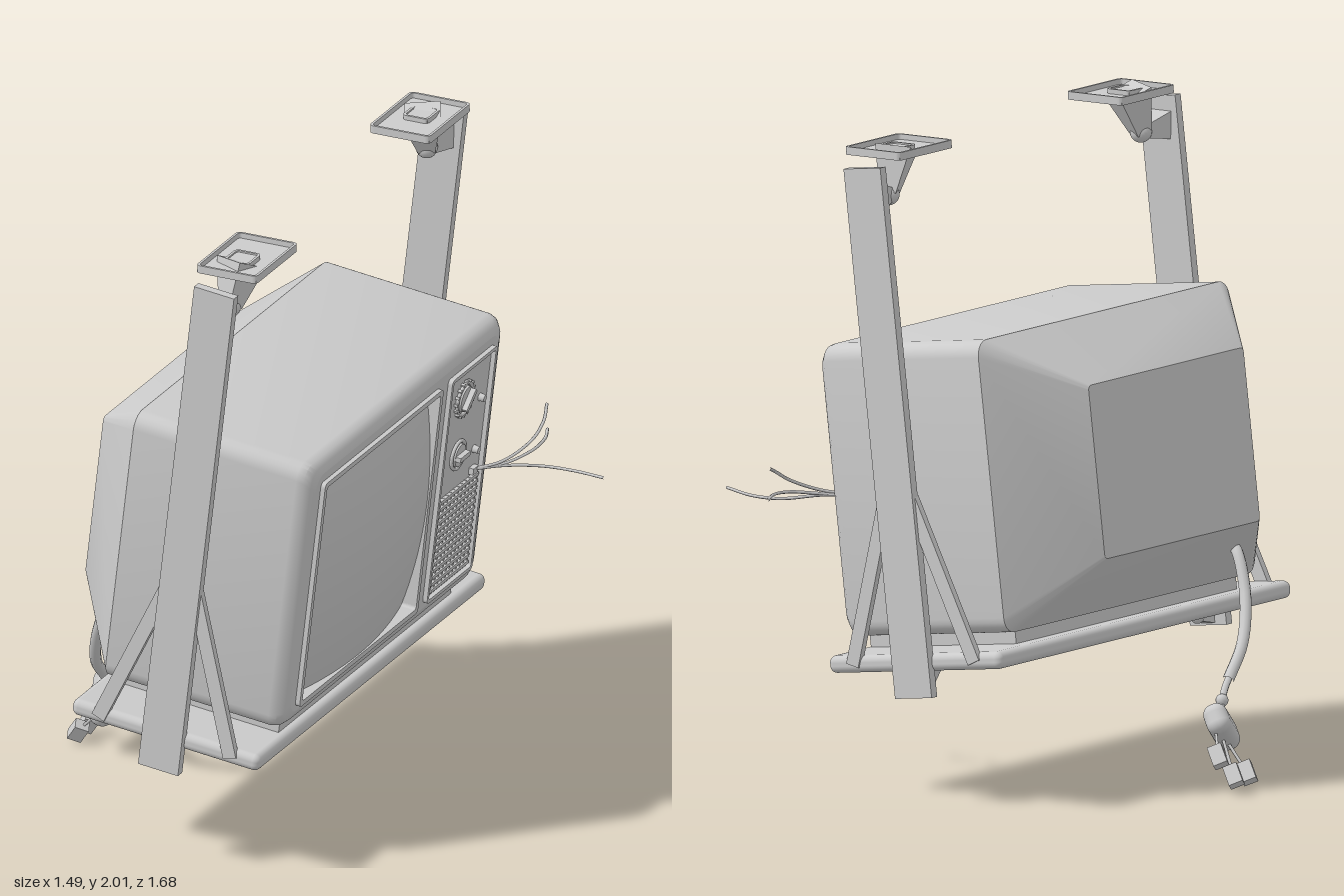
import * as THREE from 'three';
import { toCreasedNormals } from 'three/addons/utils/BufferGeometryUtils.js';
import { RoundedBoxGeometry } from 'three/addons/geometries/RoundedBoxGeometry.js';

const mat = new THREE.MeshStandardMaterial({ color: 0xcccccc });
const matFlat = new THREE.MeshStandardMaterial({ color: 0xcccccc, flatShading: true });
const V = (x, y, z) => new THREE.Vector3(x, y, z);

function add(parent, name, geo, pos = [0, 0, 0], material = mat) {
  const m = new THREE.Mesh(geo, material);
  m.name = name;
  m.position.set(...pos);
  parent.add(m);
  return m;
}
const box = (parent, name, size, pos) => add(parent, name, new THREE.BoxGeometry(...size), pos);

// Stretch a geometry's y axis along the line p-q
function align(mesh, p, q) {
  mesh.position.copy(p).lerp(q, 0.5);
  mesh.quaternion.setFromUnitVectors(V(0, 1, 0), q.clone().sub(p).normalize());
  return mesh;
}
// Square tapered arm from p (half width a) to q (half width b)
function taper(parent, name, p, q, a, b) {
  const g = new THREE.CylinderGeometry(b * Math.SQRT2, a * Math.SQRT2, p.distanceTo(q), 4).rotateY(Math.PI / 4);
  return align(add(parent, name, g, [0, 0, 0], matFlat), p, q);
}
function tube(parent, name, pts, r, sides = 8) {
  const curve = new THREE.CatmullRomCurve3(pts.map(p => V(...p)));
  return add(parent, name, new THREE.TubeGeometry(curve, 24, r, sides));
}

// Counter-clockwise rounded rectangle outline
function roundedRect(x0, x1, y0, y1, r, n = 5) {
  const pts = [];
  [[x1 - r, y0 + r, -1], [x1 - r, y1 - r, 0], [x0 + r, y1 - r, 1], [x0 + r, y0 + r, 2]].forEach(([cx, cy, k]) => {
    for (let i = 0; i <= n; i++) {
      const t = (k + i / n) * Math.PI / 2;
      pts.push(new THREE.Vector2(cx + r * Math.cos(t), cy + r * Math.sin(t)));
    }
  });
  return pts;
}
// Skin between outlines, each { z, pts }, with the back closed
function loft(sections) {
  const pos = [], idx = [], n = sections[0].pts.length;
  sections.forEach(s => s.pts.forEach(p => pos.push(p.x, p.y, s.z)));
  for (let i = 0; i < sections.length - 1; i++) {
    for (let j = 0; j < n; j++) {
      const a = i * n + j, b = i * n + (j + 1) % n;
      idx.push(a, b, b + n, a, b + n, a + n);
    }
  }
  for (let j = 1; j < n - 1; j++) idx.push(0, j + 1, j);
  const g = new THREE.BufferGeometry();
  g.setAttribute('position', new THREE.Float32BufferAttribute(pos, 3));
  g.setIndex(idx);
  return toCreasedNormals(g, 0.6);
}
// Extruded rectangular frame from z0 to z1 with border w
function frame(x0, x1, y0, y1, w, z0, z1) {
  const s = new THREE.Shape(roundedRect(x0, x1, y0, y1, 0.015));
  s.holes.push(new THREE.Path(roundedRect(x0 + w, x1 - w, y0 + w, y1 - w, 0.01)));
  return new THREE.ExtrudeGeometry(s, { depth: z1 - z0, bevelEnabled: false }).translate(0, 0, z0);
}

// Television, built facing +z
function buildTelevision() {
  const tv = new THREE.Group();
  tv.name = 'television';
  const FRONT = 0.335;
  const full = (z, inset) => ({
    z, pts: roundedRect(-0.677 + inset, 0.677 - inset, 0.04 + inset, 0.94 - inset, 0.05),
  });
  const sections = [
    { z: -0.485, pts: roundedRect(-0.418, 0.418, 0.23, 0.764, 0.015) },
    full(-0.27, 0), full(0.285, 0), full(0.309, 0.006), full(0.327, 0.022), full(FRONT, 0.045),
  ];
  add(tv, 'cabinet', loft(sections));
  const face = new THREE.Shape(sections[5].pts);
  face.holes.push(new THREE.Path(roundedRect(-0.58, 0.205, 0.12, 0.85, 0.01)));
  add(tv, 'frontFace', new THREE.ShapeGeometry(face), [0, 0, FRONT]);
  box(tv, 'base', [1.19, 0.08, 0.54], [0, 0.03, 0.02]);

  // Bulging screen inside its frame
  add(tv, 'screenFrame', frame(-0.597, 0.222, 0.103, 0.867, 0.017, 0.27, 0.35));
  const glass = new THREE.PlaneGeometry(0.785, 0.73, 20, 20);
  const p = glass.attributes.position;
  for (let i = 0; i < p.count; i++) {
    const u = p.getX(i) / 0.3925, v = p.getY(i) / 0.365;
    p.setZ(i, 0.39 - 0.045 * (u * u + v * v));
  }
  glass.computeVertexNormals();
  add(tv, 'screen', glass, [-0.1875, 0.485, 0]);

  // Control panel
  add(tv, 'panelFrame', frame(0.283, 0.597, 0.103, 0.867, 0.012, 0.32, 0.35));
  [[0.755, 0.058, 16], [0.563, 0.052, 0]].forEach(([y, r, teeth]) => {
    const dial = new THREE.Group();
    dial.name = 'dial';
    dial.position.set(0.41, y, FRONT);
    tv.add(dial);
    add(dial, 'dialRing', new THREE.TorusGeometry(r - 0.006, 0.006, 8, 32), [0, 0, 0.006]);
    add(dial, 'dialDisc', new THREE.CylinderGeometry(r * 0.7, r * 0.75, 0.014, 32).rotateX(Math.PI / 2), [0, 0, 0.007]);
    const grip = box(dial, 'dialGrip', [r * 1.3, 0.016, 0.022], [0, 0, 0.02]);
    grip.rotation.z = teeth ? 0.8 : 0;
    for (let i = 0; i < teeth; i++) {
      const t = i / teeth * Math.PI * 2;
      box(dial, 'dialTooth', [0.009, 0.009, 0.012], [r * Math.cos(t), r * Math.sin(t), 0.006]).rotation.z = t;
    }
  });
  [0.71, 0.533].forEach(y =>
    add(tv, 'smallKnob', new THREE.CylinderGeometry(0.011, 0.013, 0.02, 16).rotateX(Math.PI / 2), [0.535, y, 0.344]));

  // Speaker grille
  for (let i = 0; i < 14; i++) box(tv, 'grilleSlat', [0.26, 0.011, 0.012], [0.442, 0.135 + i * 0.0232, 0.34]);
  for (let i = 0; i < 11; i++) box(tv, 'grilleBar', [0.007, 0.315, 0.008], [0.315 + i * 0.0254, 0.286, 0.338]);
  box(tv, 'wireSocket', [0.035, 0.022, 0.016], [0.535, 0.463, 0.343]);
  return tv;
}

// Tilted shelf with posts and braces, carrying the television
function buildCradle() {
  const cradle = new THREE.Group();
  cradle.name = 'cradle';
  cradle.position.set(-0.04, 0.465, 0.033);
  cradle.rotation.z = -0.117;
  add(cradle, 'shelf', new RoundedBoxGeometry(0.64, 0.054, 1.58, 4, 0.022), [0, -0.027, 0]);
  const tv = buildTelevision();
  tv.rotation.y = Math.PI / 2;
  cradle.add(tv);
  for (const s of [1, -1]) {
    box(cradle, 'post', [0.136, 1.63, 0.03], [0, 0.682, s * 0.795]);
    for (const k of [1, -1]) {
      const a = V(k * 0.225, -0.03, s * 0.785), b = V(k * 0.045, 0.48, s * 0.785);
      align(box(cradle, 'brace', [0.045, a.distanceTo(b), 0.022]), a, b);
    }
    // Bolt under the shelf
    taper(cradle, 'shelfBoltArm', V(0, -0.1, s * 0.785), V(0, -0.1, s * 0.73), 0.027, 0.014);
    taper(cradle, 'shelfBoltLug', V(0, -0.045, s * 0.72), V(0, -0.1, s * 0.73), 0.035, 0.016);
    add(cradle, 'shelfBolt', new THREE.SphereGeometry(0.021, 16, 12), [0, -0.1, s * 0.727]);
  }
  return cradle;
}

// Ceiling plate with a ball joint
function buildMount(s) {
  const mount = new THREE.Group();
  mount.name = 'ceilingMount';
  mount.position.z = 0.033;
  const zc = s * 0.598, ball = V(0.125, 1.855, s * 0.68);
  box(mount, 'ceilingPlate', [0.2, 0.008, 0.28], [0.1425, 1.979, zc]);
  const rim = frame(-0.1025, 0.1025, -0.145, 0.145, 0.008, 0, 0.025).rotateX(-Math.PI / 2);
  add(mount, 'ceilingPlateRim', rim, [0.1425, 1.975, zc]);
  add(mount, 'plateBoss', frame(-0.044, 0.044, -0.047, 0.047, 0.008, 0, 0.016).rotateX(-Math.PI / 2), [0.137, 1.982, s * 0.62]);
  box(mount, 'plateBossCore', [0.08, 0.012, 0.086], [0.137, 1.987, s * 0.62]);
  taper(mount, 'hanger', V(0.137, 1.985, s * 0.625), ball, 0.055, 0.026);
  taper(mount, 'postArm', V(0.125, 1.865, s * 0.79), ball, 0.045, 0.02);
  add(mount, 'ballJoint', new THREE.SphereGeometry(0.034, 24, 16), ball.toArray());
  return mount;
}

// Power cable with plug and loose terminals
function buildCable() {
  const cable = new THREE.Group();
  cable.name = 'powerCable';
  tube(cable, 'cord', [[-0.39, 0.67, 0.45], [-0.425, 0.65, 0.43], [-0.485, 0.53, 0.385], [-0.53, 0.4, 0.305], [-0.555, 0.3, 0.19]], 0.018, 10);
  tube(cable, 'cordCore', [[-0.553, 0.31, 0.2], [-0.565, 0.275, 0.155], [-0.585, 0.225, 0.11]], 0.011);
  add(cable, 'cordCollar', new THREE.SphereGeometry(0.02, 12, 8), [-0.577, 0.25, 0.125]);
  const along = V(-0.3, 0.5, -0.81).normalize();
  const out = V(-0.6, -0.68, -0.4);
  out.addScaledVector(along, -out.dot(along)).normalize();
  const turn = new THREE.Quaternion().setFromRotationMatrix(
    new THREE.Matrix4().makeBasis(along, out, along.clone().cross(out)));
  const plug = add(cable, 'plug', new RoundedBoxGeometry(0.2, 0.1, 0.075, 4, 0.034), [-0.61, 0.178, 0.075]);
  plug.quaternion.copy(turn);
  [[-0.703, 0.118, -0.08], [-0.7, 0.045, 0.008], [-0.7, 0.045, 0.08]].forEach((e, i) => {
    tube(cable, 'terminalWire', [[-0.625, 0.185 - i * 0.03, 0.02 + i * 0.035], e], 0.005, 6);
    box(cable, 'terminal', [0.036, 0.065, 0.045], e).quaternion.copy(turn);
  });
  return cable;
}

export function createModel() {
  const model = new THREE.Group();
  model.name = 'ceilingTelevision';
  model.add(buildCradle(), buildMount(1), buildMount(-1), buildCable());
  // Loose wires at the front
  const start = [0.345, 0.885, -0.5];
  [
    [[0.43, 0.885, -0.575], [0.52, 0.875, -0.64], [0.62, 0.875, -0.65], [0.74, 0.885, -0.62]],
    [[0.42, 0.9, -0.57], [0.47, 0.94, -0.67], [0.475, 0.975, -0.74], [0.45, 1.0, -0.815]],
    [[0.42, 0.89, -0.57], [0.47, 0.905, -0.67], [0.47, 0.91, -0.76], [0.44, 0.905, -0.84]],
  ].forEach(pts => tube(model, 'looseWire', [start, ...pts], 0.005, 6));
  return model;
}
